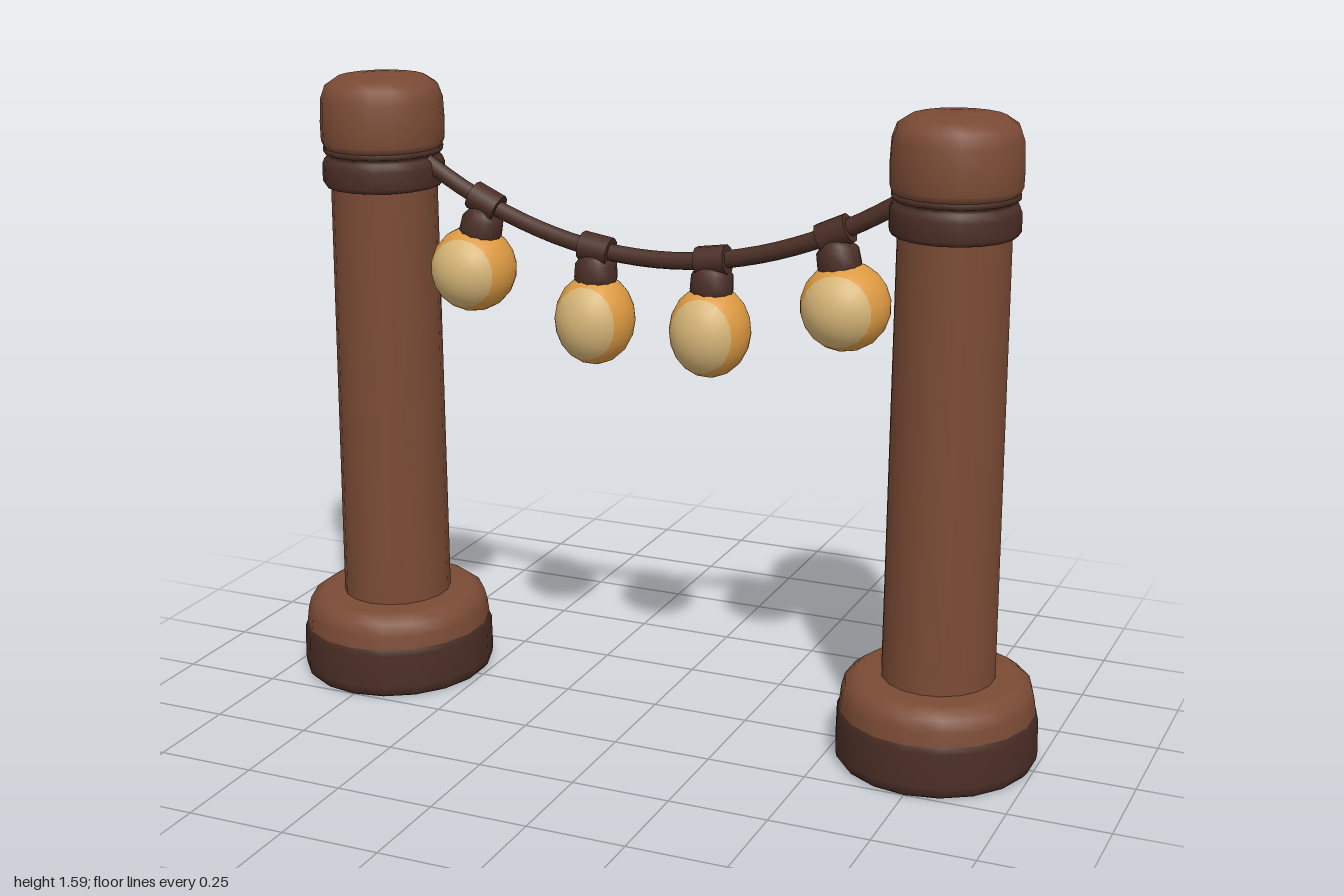
import * as THREE from 'three';

const mat = (name, color) => {
  const m = new THREE.MeshStandardMaterial({ color });
  m.name = name;
  return m;
};

export function createModel() {
  const wood = mat('brown wood', 0x7b4b35);
  const dark = mat('dark brown', 0x4a2e25);
  const amber = mat('amber glass', 0xdd9a42);
  const glow = mat('pale glow', 0xd6b577);
  const root = new THREE.Group();
  root.name = 'lanternString';

  const add = (parent, name, geometry, material) => {
    const m = new THREE.Mesh(geometry, material);
    m.name = name;
    parent.add(m);
    return m;
  };
  // Turned part from [radius, height] pairs
  const turned = (points, sides = 18) =>
    new THREE.LatheGeometry(points.map(([r, y]) => new THREE.Vector2(r, y)), sides);

  // Two posts, slightly deeper than wide
  for (const side of [-1, 1]) {
    const post = new THREE.Group();
    post.name = side < 0 ? 'rightPost' : 'leftPost';
    post.position.x = side * 0.752;
    post.scale.z = 1.055;
    root.add(post);
    add(post, 'baseFoot', turned([[0, 0], [0.236, 0], [0.246, 0.012], [0.248, 0.03], [0.246, 0.115], [0.24, 0.13]]), dark);
    add(post, 'baseTop', turned([[0.24, 0.13], [0.236, 0.165], [0.228, 0.195], [0.205, 0.213], [0.19, 0.216], [0.12, 0.216]]), wood);
    add(post, 'shaft', new THREE.CylinderGeometry(0.133, 0.139, 1.14, 18, 1, true).translate(0, 0.77, 0), wood);
    add(post, 'collar', turned([[0.13, 1.31], [0.146, 1.311], [0.153, 1.322], [0.153, 1.365], [0.147, 1.38],
      [0.138, 1.384], [0.138, 1.392], [0.149, 1.396], [0.15, 1.408], [0.13, 1.412]]), dark);
    add(post, 'cap', turned([[0.13, 1.407], [0.147, 1.409], [0.154, 1.425], [0.155, 1.47], [0.152, 1.53],
      [0.14, 1.564], [0.112, 1.583], [0.06, 1.588], [0, 1.59]]), wood);
  }

  // Sagging cable
  const sag = (x) => 1.18 + 0.19 * (x / 0.62) ** 2;
  const path = [];
  for (let i = -5; i <= 5; i++) path.push(new THREE.Vector3(i * 0.13, sag(i * 0.13), 0));
  add(root, 'cable', new THREE.TubeGeometry(new THREE.CatmullRomCurve3(path), 30, 0.022, 8), dark);

  // Bulb split into an amber belt and a pale patch on the front and back
  const patch = 0.92;
  const bulbPiece = (start, length) =>
    new THREE.SphereGeometry(1, 18, 8, 0, Math.PI * 2, start, length).rotateX(Math.PI / 2);

  // Hanging lamps: cable position, bulb centre and bulb radii
  const lamps = [
    [-0.462, -0.5, 1.112, 0.109, 0.109],
    [-0.158, -0.163, 1.015, 0.101, 0.116],
    [0.152, 0.146, 1.015, 0.101, 0.116],
    [0.462, 0.492, 1.112, 0.109, 0.109],
  ];
  for (const [x, bx, by, r, h] of lamps) {
    const lamp = new THREE.Group();
    lamp.name = 'lamp';
    const y = sag(x);
    lamp.position.set(x, y, 0);
    lamp.rotation.z = Math.atan2(bx - x, y - by);
    root.add(lamp);
    const drop = Math.hypot(bx - x, y - by);

    const clip = add(lamp, 'clip', new THREE.CylinderGeometry(0.037, 0.037, 0.078, 10).rotateZ(Math.PI / 2), dark);
    clip.rotation.z = Math.atan(0.38 * x / 0.62 ** 2) - lamp.rotation.z;
    const neck = drop - h;
    add(lamp, 'socket', turned([[0, -neck - 0.03], [0.05, -neck - 0.03], [0.054, -neck - 0.01],
      [0.052, -neck + 0.025], [0.04, -neck + 0.04], [0.034, -0.015], [0, -0.01]], 12), dark);

    const bulb = new THREE.Group();
    bulb.name = 'bulb';
    bulb.position.y = -drop;
    bulb.scale.set(r, h, r);
    lamp.add(bulb);
    add(bulb, 'bulbGlass', bulbPiece(patch, Math.PI - 2 * patch), amber);
    add(bulb, 'frontGlow', bulbPiece(0, patch), glow);
    add(bulb, 'backGlow', bulbPiece(Math.PI - patch, patch), glow);
  }
  return root;
}
